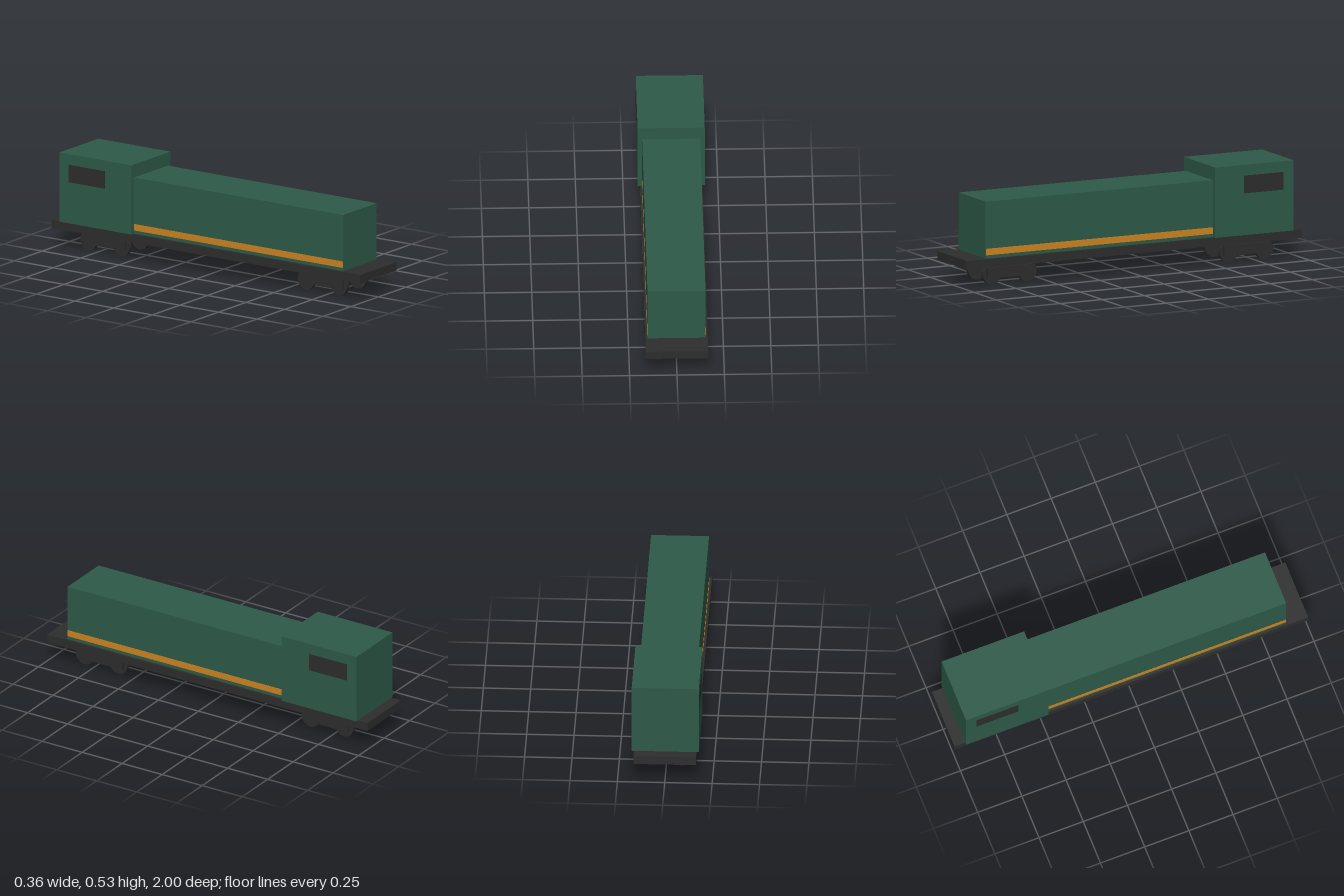
import * as THREE from 'three';

function material(name, color) {
  const m = new THREE.MeshStandardMaterial({ color });
  m.name = name;
  return m;
}

export function createModel() {
  const green = material('body green', 0x2d5a48);
  const dark = material('dark grey', 0x2d2d2d);
  const orange = material('stripe orange', 0xcc8420);

  const group = new THREE.Group();
  group.name = 'locomotive';

  // Box given by its min and max on each axis
  function box(name, mat, [x0, x1], [y0, y1], [z0, z1], parent = group) {
    const mesh = new THREE.Mesh(new THREE.BoxGeometry(x1 - x0, y1 - y0, z1 - z0), mat);
    mesh.position.set((x0 + x1) / 2, (y0 + y1) / 2, (z0 + z1) / 2);
    mesh.name = name;
    parent.add(mesh);
    return mesh;
  }

  // Underframe, long hood and cab
  box('deck', dark, [-0.165, 0.165], [0.108, 0.154], [-1, 1]);
  box('hood', green, [-0.153, 0.153], [0.154, 0.46], [-0.475, 0.88]);
  box('cab', green, [-0.177, 0.177], [0.154, 0.531], [-0.94, -0.473]);

  // Side stripes and cab windows as thin plates
  for (const s of [-1, 1]) {
    const side = s > 0 ? 'left' : 'right';
    const span = (a, b) => (s > 0 ? [a, b] : [-b, -a]);
    box(side + 'Stripe', orange, span(0.15, 0.1545), [0.172, 0.207], [-0.473, 0.879]);
    box(side + 'Window', dark, span(0.174, 0.1785), [0.378, 0.473], [-0.88, -0.645]);
  }

  // Two bogies, each with four wheels and two side frames
  const wheelGeometry = new THREE.CylinderGeometry(0.054, 0.054, 0.018, 24).rotateZ(Math.PI / 2);
  for (const end of [-1, 1]) {
    const bogie = new THREE.Group();
    bogie.name = end > 0 ? 'frontBogie' : 'rearBogie';
    bogie.position.z = end * 0.705;
    group.add(bogie);
    for (const s of [-1, 1]) {
      for (const z of [-0.106, 0.106]) {
        const wheel = new THREE.Mesh(wheelGeometry, dark);
        wheel.name = 'wheel';
        wheel.position.set(s * 0.085, 0.054, z);
        bogie.add(wheel);
      }
      const frame = box('sideFrame', dark, [-0.011, 0.011], [0.037, 0.095], [-0.14, 0.14], bogie);
      frame.position.x = s * 0.1;
    }
  }
  return group;
}
